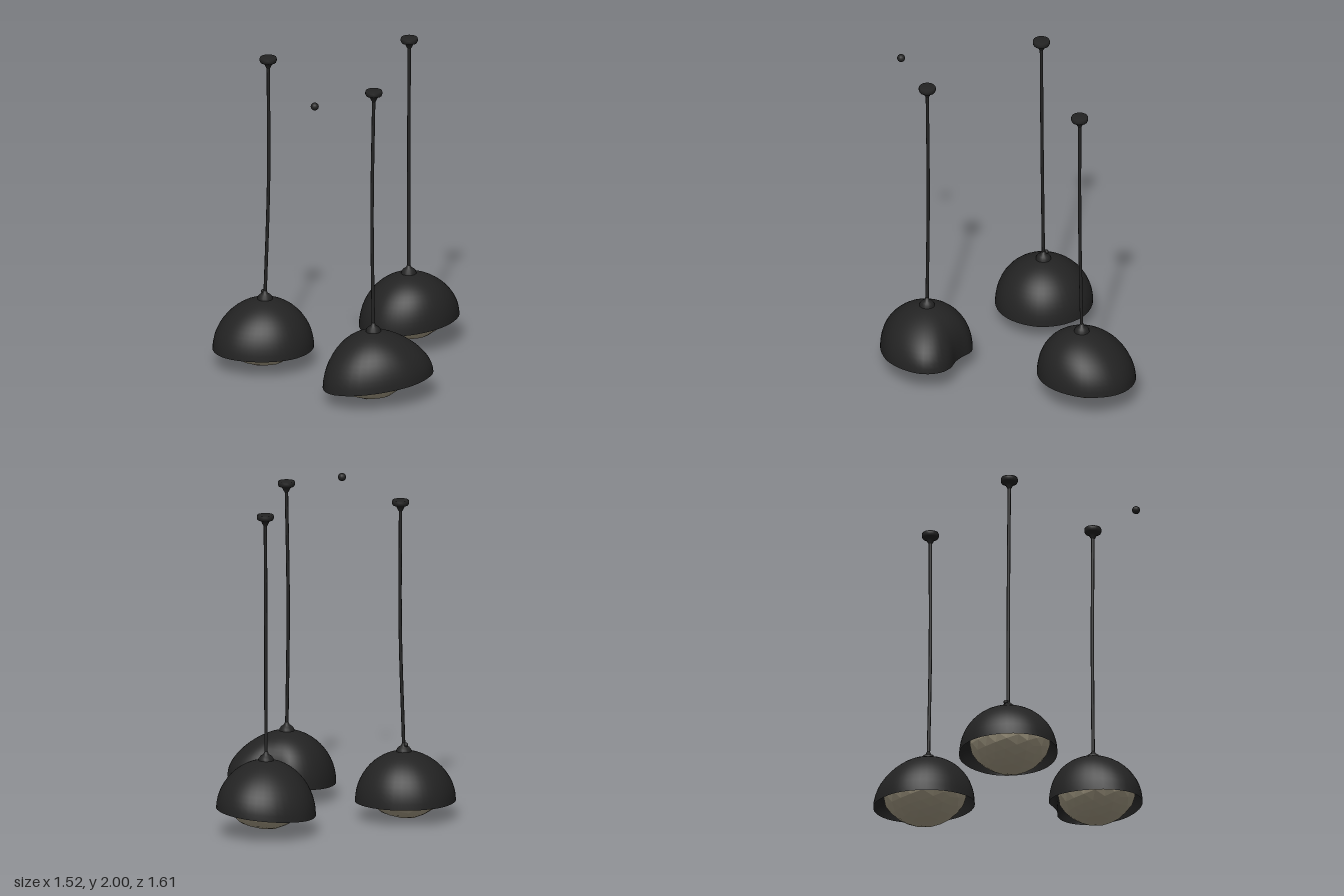
import * as THREE from 'three';

const black = new THREE.MeshStandardMaterial({ color: 0x232323, side: THREE.DoubleSide });
black.name = 'matte black';
const cream = new THREE.MeshStandardMaterial({ color: 0xb0a68e, flatShading: true });
cream.name = 'warm cream';

const v2 = (list) => list.map(([x, y]) => new THREE.Vector2(x, y));

function addMesh(parent, name, geometry, material, x = 0, y = 0, z = 0) {
  const mesh = new THREE.Mesh(geometry, material);
  mesh.name = name;
  mesh.position.set(x, y, z);
  parent.add(mesh);
  return mesh;
}

// Hand-shaped shade: rounded rings near the apex grow into the rim outline
function shadeGeometry({ apex, outline, top, rimY }) {
  const rings = 14, segs = 48, radius = 0.31;
  const [ax, az] = apex;
  const rim = new THREE.CatmullRomCurve3(
    outline.map(([x, z]) => new THREE.Vector3(x, 0, z)), true, 'centripetal').getPoints(segs);
  const pos = [], index = [];
  for (let j = 0; j <= rings; j++) {
    const phi = (Math.max(j, 0.02) / rings) * Math.PI / 2;
    const s = Math.pow(Math.sin(phi), 1.06);
    for (let i = 0; i < segs; i++) {
      const dx = rim[i].x - ax, dz = rim[i].z - az;
      const d = Math.hypot(dx, dz);
      const r = s * THREE.MathUtils.lerp(radius, d, s * s) / d;
      const edge = rimY(rim[i].x, rim[i].z);
      pos.push(ax + dx * r, edge + (top - edge) * Math.cos(phi), az + dz * r);
      if (j < rings) {
        const a = j * segs + i, b = j * segs + (i + 1) % segs;
        index.push(a, b, a + segs, b, b + segs, a + segs);
      }
    }
  }
  const g = new THREE.BufferGeometry();
  g.setAttribute('position', new THREE.Float32BufferAttribute(pos, 3));
  g.setIndex(index);
  g.computeVertexNormals();
  return g;
}

// Faceted globe: deep below, shallow above so it stays inside the shade
function globeGeometry(rx, rz, depth) {
  const g = new THREE.IcosahedronGeometry(1, 3);
  const p = g.attributes.position;
  for (let i = 0; i < p.count; i++) {
    const x = p.getX(i), y = p.getY(i), z = p.getZ(i);
    const k = 1 + 0.014 * Math.sin(13 * x + 5 * z) * Math.cos(11 * z - 7 * y);
    p.setXYZ(i, x * rx * k, y * (y < 0 ? depth : 0.1) * k, z * rz * k);
  }
  g.computeVertexNormals();
  return g;
}

const capProfile = v2([[0.009, 1.925], [0.018, 1.94], [0.026, 1.958], [0.048, 1.967],
  [0.053, 1.978], [0.053, 1.99], [0.05, 2], [0, 2]]);
const neckProfile = v2([[0.05, -0.02], [0.045, 0.008], [0.034, 0.022], [0.018, 0.032], [0.01, 0.05], [0, 0.052]]);

const pendants = [
  {
    name: 'frontPendant', cap: [-0.425, 0.455], mid: [-0.428, 0.45], apex: [-0.445, 0.465], top: 0.425,
    outline: [[-0.44, 0.165], [-0.29, 0.205], [-0.19, 0.31], [-0.146, 0.45], [-0.17, 0.58], [-0.25, 0.7],
      [-0.35, 0.775], [-0.45, 0.8], [-0.56, 0.775], [-0.67, 0.69], [-0.74, 0.57], [-0.758, 0.46],
      [-0.72, 0.33], [-0.6, 0.205]],
    rimY: () => 0.11,
    globe: { at: [-0.445, 0.48], rx: 0.248, rz: 0.25, bottom: 0.002 },
  },
  {
    name: 'backPendant', cap: [-0.208, -0.46], mid: [-0.21, -0.458], apex: [-0.22, -0.465], top: 0.463,
    outline: [[-0.24, -0.805], [-0.08, -0.75], [0.02, -0.62], [0.052, -0.48], [0.025, -0.34], [-0.05, -0.23],
      [-0.15, -0.168], [-0.3, -0.17], [-0.43, -0.24], [-0.52, -0.36], [-0.545, -0.48], [-0.5, -0.65],
      [-0.38, -0.77]],
    rimY: (x, z) => 0.143 + 0.07 * (x + 0.245) - 0.065 * (z + 0.485),
    globe: { at: [-0.24, -0.475], rx: 0.25, rz: 0.265, bottom: 0.035 },
  },
  {
    name: 'sidePendant', cap: [0.455, 0.292], mid: [0.445, 0.298], apex: [0.455, 0.295], top: 0.435,
    outline: [[0.55, -0.05], [0.65, -0.02], [0.72, 0.07], [0.757, 0.2], [0.75, 0.31], [0.7, 0.45],
      [0.6, 0.58], [0.46, 0.637], [0.33, 0.59], [0.22, 0.46], [0.173, 0.32], [0.185, 0.21], [0.235, 0.13],
      [0.32, 0.09], [0.385, 0.05], [0.46, -0.02]],
    rimY: (x, z) => 0.12 + 0.06 * (x - 0.465) - 0.08 * (z - 0.295),
    globe: { at: [0.465, 0.315], rx: 0.23, rz: 0.25, bottom: 0.008 },
  },
];

function makePendant(p) {
  const group = new THREE.Group();
  group.name = p.name;
  const [ax, az] = p.apex;
  addMesh(group, 'ceilingCap', new THREE.LatheGeometry(capProfile, 20), black, p.cap[0], 0, p.cap[1]);
  // Slightly wavering cord
  const cord = new THREE.CatmullRomCurve3([
    new THREE.Vector3(p.cap[0], 1.96, p.cap[1]),
    new THREE.Vector3(p.mid[0], 1.2, p.mid[1]),
    new THREE.Vector3(ax, p.top, az)]);
  addMesh(group, 'cord', new THREE.TubeGeometry(cord, 12, 0.0105, 8), black);
  addMesh(group, 'neck', new THREE.LatheGeometry(neckProfile, 18), black, ax, p.top, az);
  addMesh(group, 'shade', shadeGeometry(p), black);
  const { at, rx, rz, bottom } = p.globe;
  const depth = 0.2;
  addMesh(group, 'globe', globeGeometry(rx, rz, depth), cream, at[0], bottom + depth, at[1]);
  return group;
}

export function createModel() {
  const model = new THREE.Group();
  model.name = 'pendantLamps';
  pendants.forEach((p) => model.add(makePendant(p)));
  // Small knob beside the front neck and a loose ceiling ball
  addMesh(model, 'neckKnob', new THREE.SphereGeometry(0.014, 10, 8), black, -0.465, 0.463, 0.465);
  addMesh(model, 'ceilingBall', new THREE.SphereGeometry(0.025, 14, 10), black, 0.415, 1.972, 0.712);
  return model;
}
